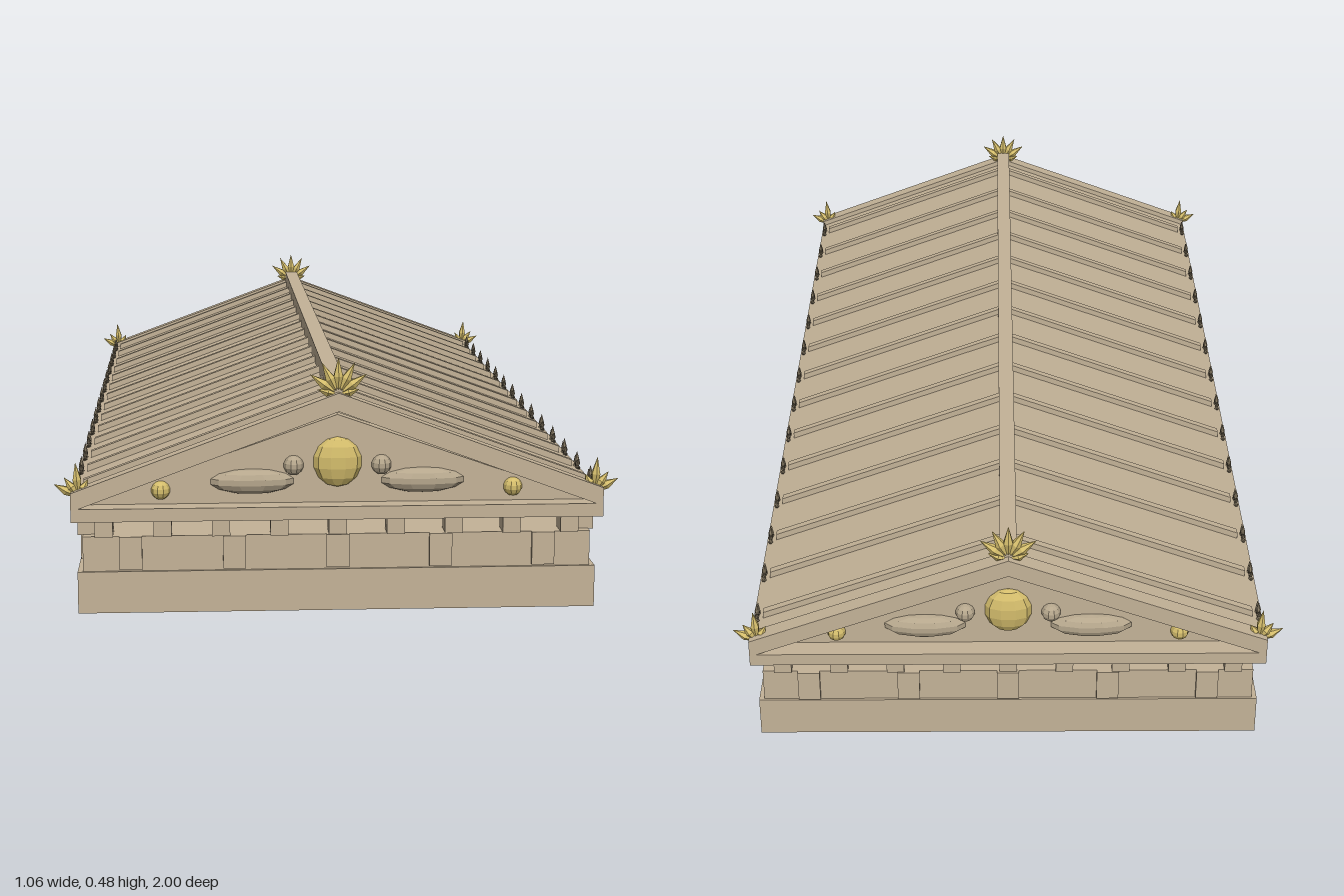
import * as THREE from 'three';

const material = (name, color) => {
  const m = new THREE.MeshStandardMaterial({ color, flatShading: true });
  m.name = name;
  return m;
};

export function createModel() {
  const stone = material('stone', 0xc4b398);
  const carved = material('carvedStone', 0xb5a68c);
  const gold = material('gold', 0xd4bd6c);
  const bronze = material('weatheredStone', 0x8a7d66);
  const model = new THREE.Group();

  const add = (name, geometry, mat, x = 0, y = 0, z = 0, parent = model) => {
    const mesh = new THREE.Mesh(geometry, mat);
    mesh.name = name;
    mesh.position.set(x, y, z);
    parent.add(mesh);
    return mesh;
  };
  const box = (name, w, h, d, x, y, z) =>
    add(name, new THREE.BoxGeometry(w, h, d), stone, x, y, z);

  // Extrude a polygon along z, centred on the given z
  const slab = (name, points, depth, z) => {
    const shape = new THREE.Shape(points.map(p => new THREE.Vector2(...p)));
    const g = new THREE.ExtrudeGeometry(shape, { depth, bevelEnabled: false });
    g.translate(0, 0, -depth / 2);
    return add(name, g, stone, 0, 0, z);
  };
  // Gable-shaped band following the roof pitch
  const pitch = 0.37;
  const chevron = (name, apex, half, thick, depth, z) => {
    const low = apex - pitch * half;
    return slab(name, [[-half, low - thick], [0, apex - thick], [half, low - thick],
      [half, low], [0, apex], [-half, low]], depth, z);
  };

  // Entablature: plain beam, frieze and projecting cornice
  box('beam', 0.98, 0.08, 1.96, 0, 0.04, 0);
  box('frieze', 0.96, 0.067, 1.95, 0, 0.1135, 0);
  box('cornice', 1, 0.025, 2, 0, 0.1925, 0);

  // Frieze blocks and the row of small blocks carrying the cornice
  for (const s of [-1, 1]) {
    for (let i = -2; i <= 2; i++)
      box('friezeBlock', 0.043, 0.063, 0.03, i * 0.195, 0.1155, s * 0.968);
    for (let i = -4; i <= 4; i++)
      box('corniceBlock', 0.034, 0.035, 0.045, i * 0.11, 0.1635, s * 0.957);
    for (let i = -4; i <= 4; i++)
      box('friezeBlock', 0.03, 0.063, 0.043, s * 0.473, 0.1155, i * 0.218);
    for (let i = 0; i < 16; i++)
      box('corniceBlock', 0.045, 0.035, 0.035, s * 0.4675, 0.1635, -0.9375 + i * 0.125);
  }

  // Roof, cover tiles and ridge
  chevron('roof', 0.408, 0.5, 0.02, 1.96, 0);
  box('ridge', 0.032, 0.035, 1.97, 0, 0.4175, 0);
  const tileZ = Array.from({ length: 14 }, (_, i) => 0.907 - i * 0.1395);
  for (const z of tileZ) chevron('coverTile', 0.421, 0.48, 0.02, 0.016, z);

  // Pointed leaf growing upward from its base
  const leaf = (length, width, depth) => {
    const g = new THREE.LatheGeometry([[0, 0], [width * 0.6, length * 0.2], [width, length * 0.5],
      [0, length]].map(p => new THREE.Vector2(...p)), 6);
    return g.scale(1, 1, depth / width);
  };
  // Fan of leaves: each entry is [angle in degrees toward +x, length]
  const palmette = (name, leaves, width, depth, mat, x, y, z) => {
    const group = new THREE.Group();
    group.name = name;
    group.position.set(x, y, z);
    for (const [angle, length] of leaves)
      add('leaf', leaf(length, width, depth), mat, 0, 0, 0, group)
        .rotation.z = -THREE.MathUtils.degToRad(angle);
    model.add(group);
    return group;
  };
  const mirrored = list => list.flatMap(([a, l]) => a ? [[a, l], [-a, l]] : [[a, l]]);

  // Eave ornaments at the foot of every cover tile
  for (const s of [-1, 1])
    for (const z of tileZ)
      palmette('eaveOrnament', mirrored([[0, 0.036], [38, 0.032], [72, 0.027]]),
        0.005, 0.005, bronze, s * 0.492, 0.224, z).rotation.y = Math.PI / 2;

  // Pediment at each end
  const ball = (name, mat, rx, ry, rz, x, y, z) =>
    add(name, new THREE.SphereGeometry(1, 10, 7).scale(rx, ry, rz), mat, x, y, z);
  for (const e of [-1, 1]) {
    chevron('rakingCornice', 0.42, 0.5, 0.035, 0.035, e * 0.9825);
    slab('pedimentWall', [[-0.48, 0.204], [0.48, 0.204], [0, 0.373]], 0.03, e * 0.945);

    // Relief figures
    const z = e * 0.962;
    ball('centralDisc', gold, 0.046, 0.048, 0.022, 0, 0.283, z);
    for (const s of [-1, 1]) {
      ball('figureHead', carved, 0.019, 0.019, 0.019, s * 0.083, 0.277, z);
      ball('recliningFigure', carved, 0.08, 0.024, 0.022, s * 0.161, 0.247, z);
      ball('cornerOrnament', gold, 0.018, 0.018, 0.018, s * 0.333, 0.232, z);
      // Corner finials lean outward
      palmette('cornerFinial', [[62, 0.052], [36, 0.046], [5, 0.066], [-28, 0.038]]
        .map(([a, l]) => [a * s, l]), 0.009, 0.01, gold, s * 0.485, 0.225, e * 0.98);
    }
    palmette('ridgeFinial', mirrored([[0, 0.07], [27, 0.068], [54, 0.066], [76, 0.04]]),
      0.01, 0.012, gold, 0, 0.414, e * 0.98);
  }
  return model;
}
